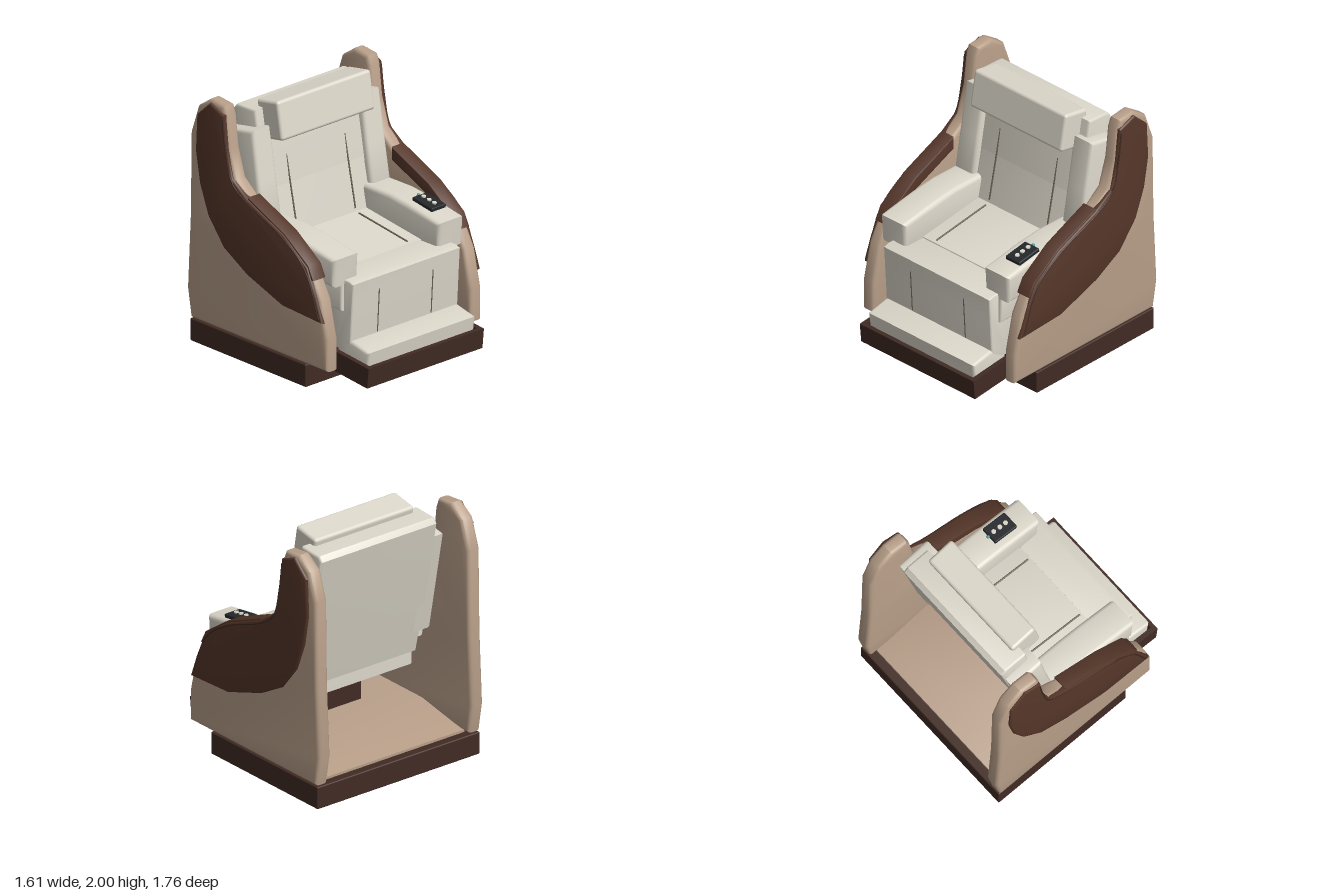
import * as THREE from 'three';
import { toCreasedNormals } from 'three/addons/utils/BufferGeometryUtils.js';
import { RoundedBoxGeometry } from 'three/addons/geometries/RoundedBoxGeometry.js';

const paint = (color) => new THREE.MeshStandardMaterial({ color });
const cream = paint(0xdcd7ca), tan = paint(0xb89f89), brown = paint(0x553629);
const darkBrown = paint(0x412b24), seamMat = paint(0x6b6253), black = paint(0x25282b), teal = paint(0x3f9a98);

export function createModel() {
  const model = new THREE.Group();

  const add = (name, geometry, material, x = 0, y = 0, z = 0, tilt = 0) => {
    const mesh = new THREE.Mesh(geometry, material);
    mesh.name = name;
    mesh.position.set(x, y, z);
    mesh.rotation.x = tilt;
    model.add(mesh);
    return mesh;
  };

  // Side profile of [z, y] points, extruded from x0 to x1 with rounded edges
  const slab = (name, points, x0, x1, bevel, material) => {
    const shape = new THREE.Shape(points.map(([z, y]) => new THREE.Vector2(z, y)));
    const geometry = new THREE.ExtrudeGeometry(shape, {
      depth: x1 - x0 - 2 * bevel, bevelEnabled: true, bevelSize: bevel,
      bevelThickness: bevel, bevelOffset: -bevel, bevelSegments: 3,
    });
    geometry.rotateY(-Math.PI / 2).center();
    geometry.computeBoundingBox();
    const zs = points.map((p) => p[0]), ys = points.map((p) => p[1]);
    const mid = (a) => (Math.min(...a) + Math.max(...a)) / 2;
    return add(name, toCreasedNormals(geometry, 0.7), material, (x0 + x1) / 2, mid(ys), mid(zs));
  };

  // Thin cord through [z, y] points at a fixed x
  const cord = (name, x, points, radius, material) => {
    const path = new THREE.CatmullRomCurve3(points.map(([z, y]) => new THREE.Vector3(x, y, z)));
    add(name, new THREE.TubeGeometry(path, points.length * 4, radius, 6), material);
  };

  // Plinth and the sloping floor above it
  add('base', new RoundedBoxGeometry(1.54, 0.18, 1.25, 2, 0.01), darkBrown, 0, 0.09, -0.215);
  slab('floor', [[-0.77, 0.17], [0.4, 0.17], [0.4, 0.29], [-0.29, 0.29], [-0.77, 0.2]], -0.68, 0.68, 0.005, tan);
  add('seatMechanism', new THREE.BoxGeometry(0.6, 0.36, 0.35), darkBrown, 0, 0.45, 0.15);

  // Outer side walls
  const wall = [[0.65, 0.19], [0.65, 0.44], [0.58, 0.74], [0.45, 0.97], [0.2, 1.15], [-0.2, 1.32],
    [-0.34, 1.43], [-0.41, 1.65], [-0.44, 1.9], [-0.47, 1.975], [-0.62, 1.99], [-0.75, 1.9],
    [-0.83, 1.67], [-0.84, 1.0], [-0.87, 0.42], [-0.83, 0.19]];
  const panel = [[0.615, 0.57], [0.18, 0.59], [-0.2, 0.72], [-0.45, 0.86], [-0.62, 1.07], [-0.71, 1.3],
    [-0.755, 1.55], [-0.74, 1.84], [-0.6, 1.97], [-0.45, 1.91], [-0.42, 1.65], [-0.36, 1.43],
    [-0.2, 1.32], [0.2, 1.15], [0.45, 0.97], [0.55, 0.75]];
  const rim = [[0.51, 0.88], [0.455, 0.985], [0.2, 1.163], [-0.2, 1.333], [-0.2, 1.23], [0.2, 1.06], [0.38, 0.93], [0.44, 0.86]];
  const piping = [[0.58, 0.6], [0.43, 0.95], [0.19, 1.13], [-0.2, 1.295], [-0.36, 1.41], [-0.43, 1.66], [-0.46, 1.88]];

  // Arm, wing and the lower seat side
  const arm = [[0.595, 1.03], [0.25, 1.085], [0.05, 1.105], [-0.33, 1.1], [-0.33, 0.82], [0.58, 0.805]];
  const wing = [[-0.17, 1.02], [-0.24, 1.4], [-0.305, 1.79], [-0.58, 1.74], [-0.42, 0.92], [-0.2, 0.92]];

  for (const s of [1, -1]) {
    const side = s > 0 ? 'left' : 'right';
    const mirrored = (name, points, inner, outer, bevel, material) =>
      slab(side + name, points, s > 0 ? inner : -outer, s > 0 ? outer : -inner, bevel, material);
    mirrored('SideWall', wall, 0.665, 0.78, 0.03, tan);
    mirrored('SidePanel', panel, 0.73, 0.8, 0.018, brown);
    mirrored('RimTrim', rim, 0.66, 0.786, 0.008, brown);
    cord(side + 'PanelPiping', s * 0.797, piping, 0.007, darkBrown);
    mirrored('Arm', arm, 0.4, 0.655, 0.035, cream);
    mirrored('BackWing', wing, 0.45, 0.645, 0.03, cream);

    // Upholstery seams
    cord(side + 'BackSeam', s * 0.293, [[-0.195, 0.95], [-0.35, 1.68]], 0.007, seamMat);
    cord(side + 'SeatSeam', s * 0.288, [[0.38, 0.855], [-0.15, 0.925]], 0.007, seamMat);
    cord(side + 'LegSeam', s * 0.27, [[0.667, 0.73], [0.645, 0.38]], 0.007, seamMat);
  }

  // Seat
  slab('seatBody', [[0.58, 0.6], [0.58, 0.82], [-0.3, 0.82], [-0.3, 0.6]], -0.57, 0.57, 0.02, cream);
  slab('seatCushion', [[0.42, 0.78], [0.4, 0.85], [-0.22, 0.93], [-0.26, 0.78]], -0.42, 0.42, 0.012, cream);
  slab('legRest', [[0.39, 0.8], [0.4, 0.842], [0.63, 0.845], [0.677, 0.83], [0.665, 0.65], [0.65, 0.4],
    [0.64, 0.28], [0.48, 0.28]], -0.54, 0.54, 0.012, cream);

  // Reclined back: front pad, full-width shell and head pillow
  slab('backPad', [[-0.18, 0.88], [-0.36, 1.72], [-0.5, 1.72], [-0.34, 0.88]], -0.455, 0.455, 0.015, cream);
  slab('backShell', [[-0.27, 1.3], [-0.38, 1.91], [-0.58, 1.9], [-0.615, 1.86], [-0.5, 1.3], [-0.37, 0.74],
    [-0.2, 0.72]], -0.55, 0.55, 0.02, cream);
  add('headPillow', new RoundedBoxGeometry(0.94, 0.305, 0.235, 4, 0.025), cream, 0, 1.83, -0.305, -0.18);

  // Footrest: open frame holding a cushion
  const footrest = new THREE.Group();
  footrest.name = 'footrest';
  footrest.position.set(0, 0.18, 0.64);
  footrest.rotation.x = 0.1;
  model.add(footrest);
  const framePart = (name, w, h, d, x, z) => {
    const mesh = new THREE.Mesh(new THREE.BoxGeometry(w, h, d), darkBrown);
    mesh.name = name;
    mesh.position.set(x, 0, z);
    footrest.add(mesh);
  };
  for (const s of [1, -1]) {
    framePart('footrestSide', 0.04, 0.16, 0.48, s * 0.56, 0);
    framePart('footrestEnd', 1.16, 0.16, 0.035, 0, s * 0.222);
  }
  slab('footCushion', [[0.845, 0.335], [0.81, 0.08], [0.5, 0.13], [0.5, 0.36], [0.66, 0.375]], -0.54, 0.54, 0.025, cream);

  // Control pad with buttons on the left arm
  const slope = 0.15;
  add('controlPad', new RoundedBoxGeometry(0.145, 0.035, 0.215, 2, 0.008), black, 0.547, 1.082, 0.33, slope);
  for (const z of [0.27, 0.33, 0.385]) {
    add('controlButton', new THREE.CylinderGeometry(0.018, 0.018, 0.02, 16), cream, 0.547, 1.1 - (z - 0.33) * slope, z, slope);
  }
  add('controlLight', new THREE.SphereGeometry(0.014, 12, 8), teal, 0.547, 1.105, 0.215);

  return model;
}
